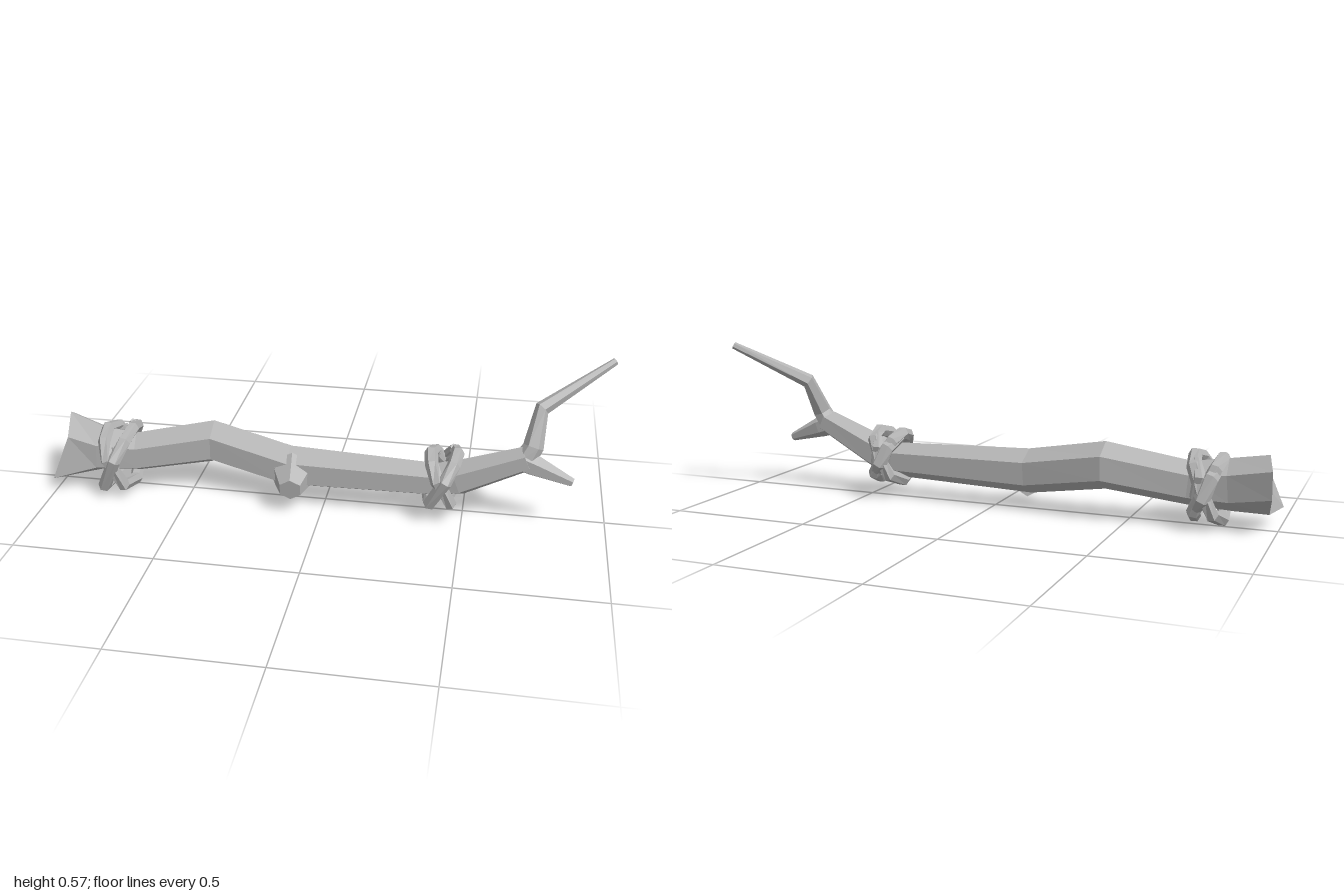
import * as THREE from 'three';

const wood = new THREE.MeshStandardMaterial({ color: 0xb4b4b4 });
wood.name = 'plain grey';

// Skins a list of equal-sized rings of points with crisp flat faces.
function loft(name, rings, closed = false, startHub = null) {
  const pos = [];
  const tri = (...pts) => pts.forEach((p) => pos.push(p.x, p.y, p.z));
  const n = rings[0].length;
  const spans = closed ? rings.length : rings.length - 1;
  for (let i = 0; i < spans; i++) {
    const a = rings[i], b = rings[(i + 1) % rings.length];
    for (let j = 0; j < n; j++) {
      const k = (j + 1) % n;
      tri(a[j], a[k], b[k]);
      tri(a[j], b[k], b[j]);
    }
  }
  if (!closed) {
    const hub = (r) => r.reduce((s, p) => s.add(p), new THREE.Vector3()).divideScalar(n);
    const first = rings[0], last = rings[rings.length - 1];
    const h0 = startHub || hub(first), h1 = hub(last);
    for (let j = 0; j < n; j++) {
      const k = (j + 1) % n;
      tri(h0, first[k], first[j]);
      tri(h1, last[j], last[k]);
    }
  }
  const g = new THREE.BufferGeometry();
  g.setAttribute('position', new THREE.Float32BufferAttribute(pos, 3));
  g.computeVertexNormals();
  const mesh = new THREE.Mesh(g, wood);
  mesh.name = name;
  return mesh;
}

// Six-sided rings along a path of [x, y, z, radius]; first corner faces "up".
function ringsAlong(path, up, closed = false, sides = 6) {
  const pts = path.map((p) => new THREE.Vector3(p[0], p[1], p[2]));
  const n = pts.length;
  return pts.map((c, i) => {
    const prev = closed ? pts[(i + n - 1) % n] : pts[Math.max(i - 1, 0)];
    const next = closed ? pts[(i + 1) % n] : pts[Math.min(i + 1, n - 1)];
    const t = next.clone().sub(prev).normalize();
    const u = up.clone().addScaledVector(t, -up.dot(t)).normalize();
    const v = t.clone().cross(u);
    return Array.from({ length: sides }, (_, j) => {
      const a = (j / sides) * Math.PI * 2;
      return c.clone()
        .addScaledVector(u, Math.cos(a) * path[i][3])
        .addScaledVector(v, Math.sin(a) * path[i][3]);
    });
  });
}

const X = new THREE.Vector3(1, 0, 0);
const Y = new THREE.Vector3(0, 1, 0);

// Binding loop outline as [z, y], shared by both lashings.
const LOOP = [[0.145, 0.165], [0.12, 0.05], [0.01, 0.025], [-0.085, 0.06],
  [-0.1, 0.13], [-0.065, 0.215], [0.015, 0.24], [0.09, 0.22]];

function lashing(name, cx, cy, cz, s) {
  const group = new THREE.Group();
  group.name = name;
  const place = ([x, y, z, r]) => [cx + x, cy + y * s, cz + z * s, r];
  // Two crossed loops
  for (const side of [1, -1]) {
    const k = side > 0 ? 1 : 0.94;
    const path = LOOP.map(([z, y]) => {
      const h = (y - 0.1325) * k;
      return place([side * 0.45 * h, h, (z - 0.02) * k, 0.024]);
    });
    group.add(loft('bindingLoop', ringsAlong(path, X, true), true));
  }
  // Knot and loose ends at the back
  const knot = [[-0.05, 0.085, -0.03, 0.016], [-0.025, 0.05, -0.105, 0.026],
    [0.0, -0.02, -0.125, 0.028], [0.035, -0.075, -0.09, 0.016]].map(place);
  group.add(loft('bindingKnot', ringsAlong(knot, X)));
  const end = [[0.03, -0.02, -0.1, 0.016], [0.01, 0.05, -0.11, 0.024],
    [0.03, 0.105, -0.065, 0.012]].map(place);
  group.add(loft('looseEnd', ringsAlong(end, X)));
  return group;
}

export function createModel() {
  const model = new THREE.Group();
  model.name = 'boundBranch';

  // Main limb, with a jagged broken butt
  const limb = ringsAlong([
    [-0.97, 0.165, 0.01, 0.11], [-0.84, 0.147, 0.01, 0.09],
    [-0.7, 0.143, 0.006, 0.076], [-0.42, 0.19, -0.035, 0.083],
    [-0.13, 0.138, 0.01, 0.08], [0.4, 0.137, 0.022, 0.064],
    [0.48, 0.155, 0.03, 0.066], [0.715, 0.26, 0.045, 0.046],
  ], Y);
  limb[0] = [[-0.97, 0.265, -0.03], [-0.94, 0.22, 0.09], [-1, 0.06, 0.12],
    [-0.97, 0.058, 0.0], [-0.99, 0.13, -0.1], [-0.99, 0.225, -0.105]]
    .map((p) => new THREE.Vector3(...p));
  model.add(loft('mainLimb', limb, false, new THREE.Vector3(-0.95, 0.16, 0.01)));

  // Fork: short stub and long bent twig
  model.add(loft('shortTwig', ringsAlong([
    [0.69, 0.253, 0.045, 0.044], [0.74, 0.235, 0.047, 0.04], [0.872, 0.185, 0.055, 0.016],
  ], Y)));
  model.add(loft('longTwig', ringsAlong([
    [0.7, 0.245, 0.045, 0.04], [0.73, 0.3, 0.035, 0.036],
    [0.75, 0.42, -0.025, 0.027], [0.988, 0.558, -0.155, 0.013],
  ], X)));

  // Cut side stub on the front
  model.add(loft('cutStub', ringsAlong([
    [-0.115, 0.125, 0.03, 0.085], [-0.11, 0.115, 0.08, 0.066], [-0.105, 0.105, 0.135, 0.042],
  ], Y)));

  model.add(lashing('buttLashing', -0.765, 0.1325, 0.02, 1));
  model.add(lashing('forkLashing', 0.425, 0.153, 0.022, 0.84));
  return model;
}
